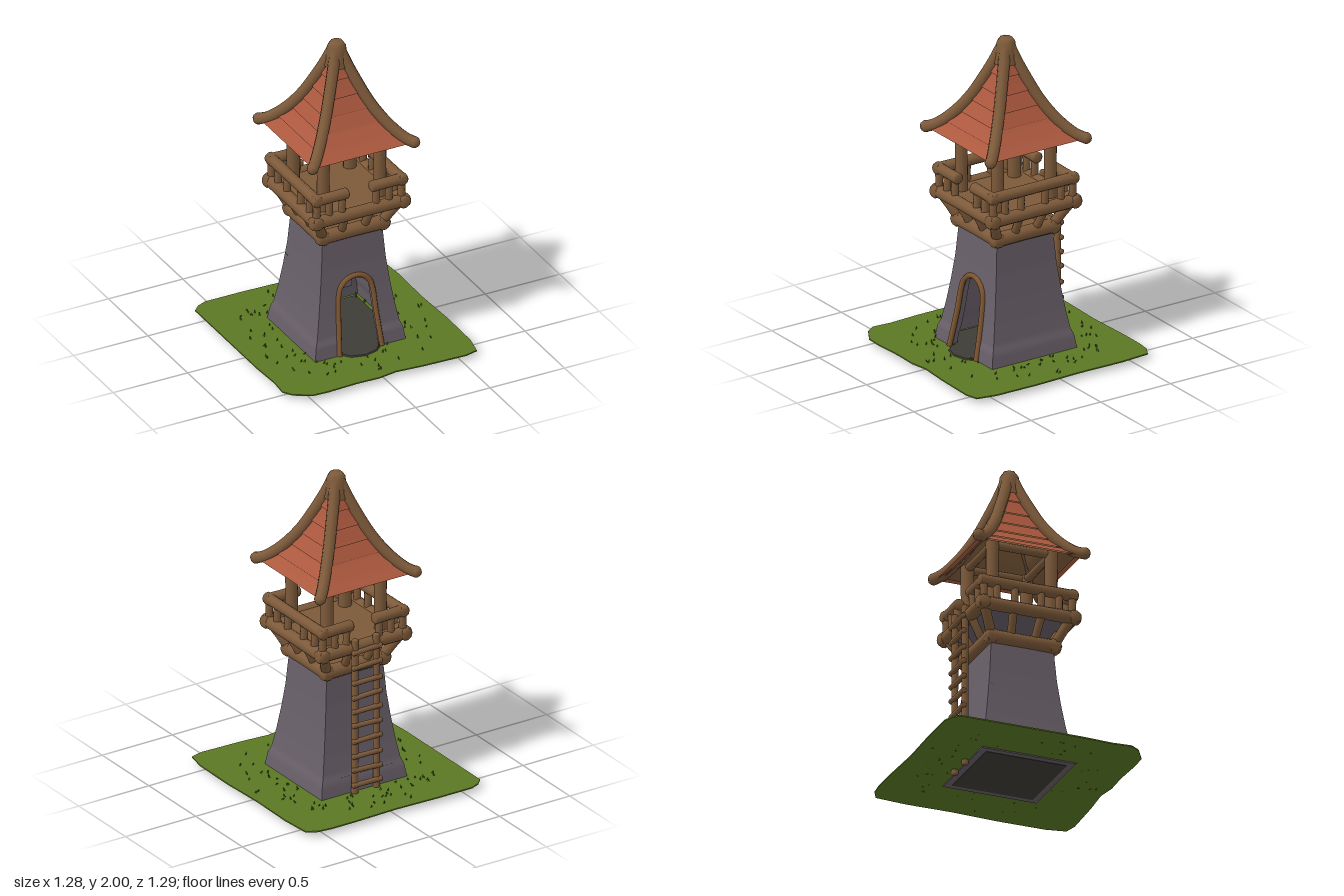
import * as THREE from 'three';
import { ParametricGeometry } from 'three/addons/geometries/ParametricGeometry.js';

const mat = (name, color, side = THREE.DoubleSide) => {
  const m = new THREE.MeshStandardMaterial({ color, side });
  m.name = name;
  return m;
};

// Piecewise linear lookup in a [y, value] table
const lookup = (table, y) => {
  for (let i = 1; i < table.length; i++) {
    const [y0, a] = table[i - 1], [y1, b] = table[i];
    if (y <= y1) return a + (b - a) * Math.max(0, (y - y0) / (y1 - y0));
  }
  return table[table.length - 1][1];
};

const wallHalf = y => lookup([[0.03, 0.305], [0.12, 0.292], [0.16, 0.276], [0.28, 0.255], [0.42, 0.235], [0.58, 0.216], [0.8, 0.2]], y);
const roofHalf = y => lookup([[1.38, 0.322], [1.42, 0.275], [1.5, 0.2], [1.6, 0.145], [1.72, 0.093], [1.84, 0.05], [1.95, 0.025]], y);
// Half width of the arched doorway
const doorHalf = y => y < 0.4 ? 0.145 - 0.03 * y / 0.4 : y < 0.515 ? 0.115 * Math.sqrt(1 - ((y - 0.4) / 0.115) ** 2) : 0;

const panel = (fn, nu, nv) => {
  const g = new ParametricGeometry((u, v, p) => p.set(...fn(u, v)), nu, nv);
  g.computeVertexNormals();
  return g;
};

export function createModel() {
  const root = new THREE.Group();
  const stone = mat('stone', 0x696069);
  const wood = mat('wood', 0x7d5a3a);
  const roofRed = mat('roof red', 0xab583e);
  const grass = mat('grass', 0x5a7823);
  const darkGrass = mat('dark grass', 0x3f5a1a);
  const earth = mat('dark earth', 0x3e3c36);
  const trim = mat('door wood', 0x7f5630);

  let seed = 7;
  const rnd = () => (seed = (seed * 16807) % 2147483647) / 2147483647;

  const add = (name, geo, material, parent = root) => {
    const m = new THREE.Mesh(geo, material);
    m.name = name;
    parent.add(m);
    return m;
  };
  const box = (name, w, h, d, x, y, z, material, parent) => {
    const m = add(name, new THREE.BoxGeometry(w, h, d), material, parent);
    m.position.set(x, y, z);
    return m;
  };
  // Log with bevelled ends between two points
  const log = (name, a, b, r, parent = root, material = wood) => {
    const A = new THREE.Vector3(...a), B = new THREE.Vector3(...b);
    const L = A.distanceTo(B) / 2, e = r * 0.3;
    const pts = [[0, -L], [r * 0.72, -L], [r, -L + e], [r * 0.94, 0], [r, L - e], [r * 0.72, L], [0, L]];
    const m = add(name, new THREE.LatheGeometry(pts.map(p => new THREE.Vector2(...p)), 10), material, parent);
    m.position.copy(A).add(B).multiplyScalar(0.5);
    m.quaternion.setFromUnitVectors(new THREE.Vector3(0, 1, 0), B.sub(A).normalize());
    return m;
  };

  // Ground with a wobbly, clipped outline
  const outline = [[-0.64, -0.58], [-0.6, -0.62], [-0.54, -0.645], [-0.3, -0.645], [0, -0.635], [0.3, -0.645], [0.46, -0.645], [0.55, -0.635],
    [0.615, -0.6], [0.63, -0.4], [0.625, -0.1], [0.638, 0.2], [0.635, 0.5], [0.61, 0.625], [0.53, 0.645], [0.25, 0.635], [0.07, 0.62],
    [-0.05, 0.64], [-0.2, 0.635], [-0.4, 0.645], [-0.5, 0.64], [-0.6, 0.58], [-0.64, 0.52], [-0.63, 0.4], [-0.64, 0.2]];
  const groundGeo = new THREE.ExtrudeGeometry(new THREE.Shape(outline.map(([x, z]) => new THREE.Vector2(x, -z))), { depth: 0.008, bevelEnabled: false });
  add('ground', groundGeo.rotateX(-Math.PI / 2).translate(0, 0.03, 0), grass);
  box('foundation', 0.6, 0.012, 0.6, 0, 0.028, 0, stone);
  box('foundationEarth', 0.52, 0.012, 0.52, 0, 0.025, 0, earth);
  box('innerFloor', 0.56, 0.008, 0.56, 0, 0.042, 0, earth);
  const sill = add('doorSill', new THREE.CylinderGeometry(0.13, 0.14, 0.012, 9), earth);
  sill.position.set(0, 0.04, 0.28);
  sill.scale.z = 0.7;

  // Grass blades around the tower
  const tufts = new THREE.Group();
  tufts.name = 'grassTufts';
  root.add(tufts);
  for (let i = 0; i < 110; i++) {
    const a = rnd() * Math.PI * 2, r = 0.34 + rnd() * 0.25;
    const blade = add('blade', new THREE.ConeGeometry(0.008, 0.02 + rnd() * 0.02, 3), i % 2 ? darkGrass : grass, tufts);
    blade.position.set(Math.cos(a) * r, 0.045, Math.sin(a) * r);
    blade.rotation.set(rnd() - 0.5, rnd() * 3, rnd() - 0.5);
  }

  // Flared tower walls: three full sides, and a front split around the door
  const Y = v => 0.03 + v * 0.77;
  const wallGeo = panel((u, v) => [(u * 2 - 1) * wallHalf(Y(v)), Y(v), wallHalf(Y(v))], 6, 40);
  for (const k of [1, 2, 3]) add('towerWall', wallGeo, stone).rotation.y = k * Math.PI / 2;
  for (const s of [-1, 1]) {
    add('frontWall', panel((u, v) => {
      const y = Y(v), h = wallHalf(y), d = doorHalf(y);
      return [s * (d + (h - d) * u), y, h];
    }, 3, 77), stone);
    add('doorJamb', panel((u, v) => {
      const y = 0.03 + 0.485 * Math.sin(v * Math.PI / 2);
      return [s * doorHalf(y), y, wallHalf(y) - 0.05 * u];
    }, 1, 30), stone);
  }
  // Stonework on the inner back wall
  for (let r = 0; r < 5; r++) for (const i of [-1, 0, 1]) {
    const y = 0.1 + r * 0.09;
    box('innerStone', 0.125, 0.08, 0.03, i * 0.135 + (r % 2 ? 0.03 : -0.03), y, -wallHalf(y) + 0.025, stone);
  }

  // Arched door frame
  const framePts = [];
  for (const y of [0.04, 0.15, 0.28, 0.4, 0.46, 0.5]) framePts.push([-doorHalf(y), y]);
  const arch = [...framePts, [0, 0.515], ...framePts.map(([x, y]) => [-x, y]).reverse()];
  const archCurve = new THREE.CatmullRomCurve3(arch.map(([x, y]) => new THREE.Vector3(x, y, wallHalf(y) + 0.006)));
  add('doorFrame', new THREE.TubeGeometry(archCurve, 48, 0.017, 6), trim);

  // Platform
  box('towerCap', 0.39, 0.03, 0.39, 0, 0.8, 0, wood);
  box('deck', 0.58, 0.03, 0.58, 0, 0.985, 0, wood);
  box('deckUnderside', 0.54, 0.008, 0.54, 0, 0.966, 0, stone);

  // One gallery side per quarter turn; front and back have an opening
  for (let k = 0; k < 4; k++) {
    const side = new THREE.Group();
    side.name = 'gallerySide';
    side.rotation.y = k * Math.PI / 2;
    root.add(side);
    log('lowerBeam', [-0.24, 0.812, 0.2], [0.24, 0.812, 0.2], 0.046, side);
    log('deckBeam', [-0.332, 0.98, 0.29], [0.332, 0.98, 0.29], 0.041, side);
    if (k % 2) log('rail', [-0.318, 1.127, 0.285], [0.318, 1.127, 0.285], 0.036, side);
    for (const s of [-1, 1]) {
      if (k % 2 === 0) log('rail', [s * 0.075, 1.127, 0.285], [s * 0.315, 1.127, 0.285], 0.036, side);
      log('strut', [s * 0.075, 0.82, 0.2], [s * 0.09, 0.97, 0.28], 0.026, side);
      log('railPost', [s * (k % 2 ? 0.085 : 0.115), 0.99, 0.285], [s * (k % 2 ? 0.085 : 0.115), 1.12, 0.285], 0.024, side);
      log('railPost', [s * 0.2, 0.99, 0.285], [s * 0.2, 1.12, 0.285], 0.024, side);
    }
    log('cornerStrut', [0.2, 0.82, 0.2], [0.275, 0.97, 0.275], 0.032, side);
    log('cornerPost', [0.285, 0.99, 0.285], [0.285, 1.12, 0.285], 0.025, side);
    log('pillar', [0.19, 0.98, 0.19], [0.19, 1.44, 0.19], 0.041, side);
    log('eaveBeam', [-0.2, 1.415, 0.19], [0.2, 1.415, 0.19], 0.026, side);
  }

  // Roof: overlapping concave courses, wooden lining, ridge logs
  const rows = [1.38, 1.44, 1.51, 1.59, 1.68, 1.78, 1.93];
  const ridge = new THREE.CatmullRomCurve3([[0.345, 1.388], [0.3, 1.41], [0.225, 1.49], [0.15, 1.61], [0.09, 1.745], [0.045, 1.86], [0.015, 1.95]]
    .map(([d, y]) => new THREE.Vector3(d, y, d)));
  for (let k = 0; k < 4; k++) {
    const side = new THREE.Group();
    side.name = 'roofSide';
    side.rotation.y = k * Math.PI / 2;
    root.add(side);
    for (let i = 0; i < rows.length - 1; i++) {
      add('roofCourse', panel((u, v) => {
        const y = rows[i] + (rows[i + 1] - rows[i]) * v, h = roofHalf(y) + 0.01 * (1 - v);
        return [(u * 2 - 1) * h, y, h];
      }, 6, 5), roofRed, side);
    }
    add('roofLining', panel((u, v) => {
      const y = 1.385 + 0.5 * v, h = roofHalf(y) - 0.012;
      return [(u * 2 - 1) * h, y, h];
    }, 2, 20), wood, side);
    add('ridgeLog', new THREE.TubeGeometry(ridge, 24, 0.036, 8), wood, side);
    const tip = add('ridgeTip', new THREE.SphereGeometry(0.037, 8, 6), wood, side);
    tip.position.set(0.342, 1.39, 0.342);
    tip.scale.setScalar(0.98);
  }
  const peak = add('roofPeak', new THREE.LatheGeometry([[0.075, 1.84], [0.062, 1.93], [0.056, 1.975], [0.038, 2], [0, 2]]
    .map(p => new THREE.Vector2(...p)), 8), wood);
  peak.rotation.y = Math.PI / 8;

  // Ladder up the back
  const ladder = new THREE.Group();
  ladder.name = 'ladder';
  root.add(ladder);
  for (const s of [-1, 1]) log('ladderSide', [s * 0.078, 0, -0.318], [s * 0.075, 1.045, -0.318], 0.022, ladder);
  for (let i = 0; i < 10; i++) {
    const y = 0.09 + i * 0.097;
    log('rung', [-0.105, y + (rnd() - 0.5) * 0.015, -0.333], [0.105, y + (rnd() - 0.5) * 0.015, -0.333], 0.017, ladder);
  }
  return root;
}
